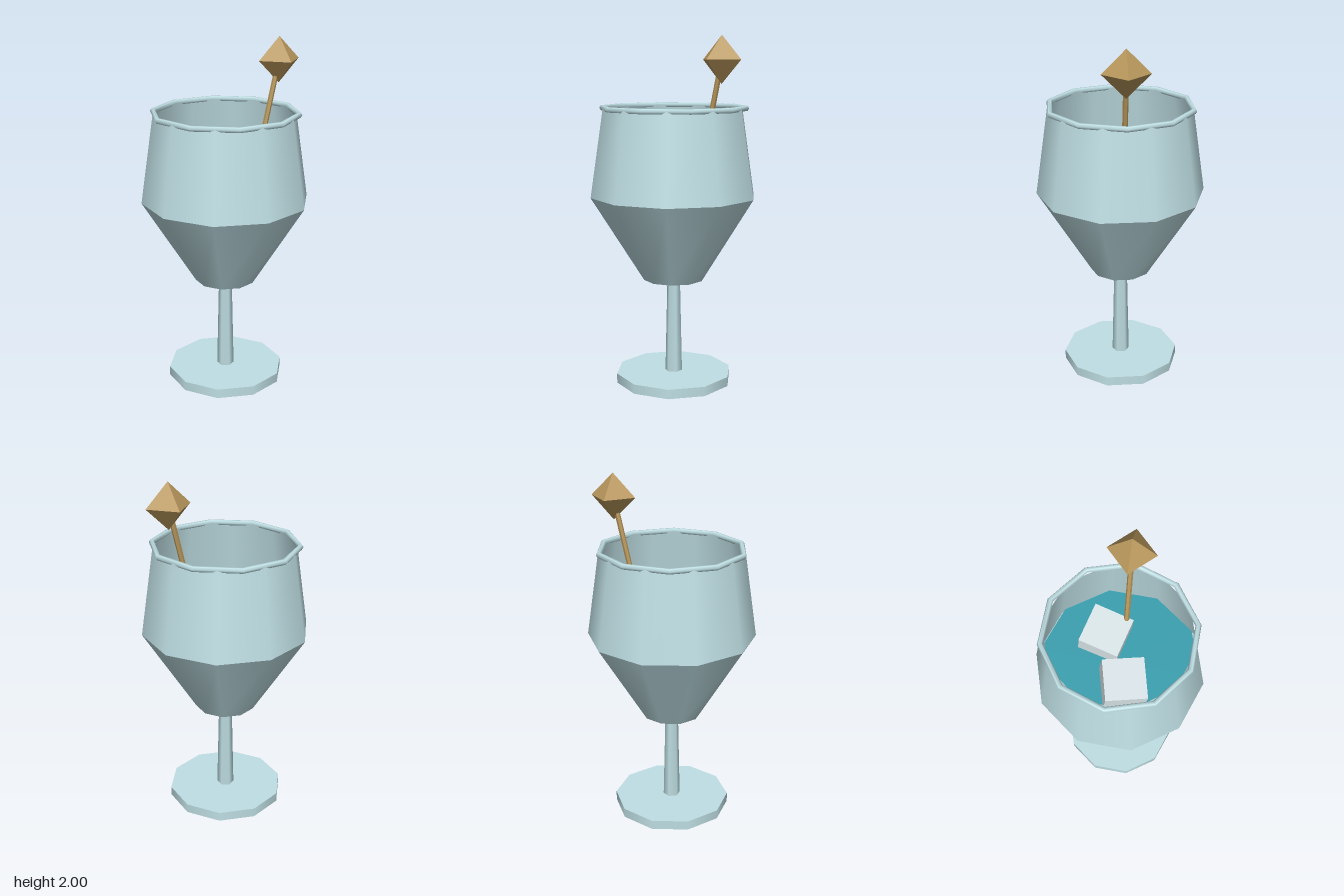
import * as THREE from 'three';

const SIDES = 10;
const AXIS_X = -0.008; // the glass sits slightly off centre, balanced by the pick

const material = (color, extra = {}) => new THREE.MeshStandardMaterial({ color, ...extra });

export function createModel() {
  const model = new THREE.Group();
  const glass = material(0xbfdfe4);
  const glassWall = material(0xbfdfe4, { side: THREE.DoubleSide });
  const liquidMat = material(0x3aa0b0);
  const ice = material(0xdbe6ea, { flatShading: true });
  const wood = material(0xb8975c, { flatShading: true });

  const add = (name, geometry, mat, x, y, z, parent = model) => {
    const mesh = new THREE.Mesh(geometry, mat);
    mesh.name = name;
    mesh.position.set(x, y, z);
    parent.add(mesh);
    return mesh;
  };

  // Tapered cylinder standing between two heights on the glass axis
  const taper = (name, rBottom, rTop, y0, y1, sides, mat, open = false) =>
    add(name, new THREE.CylinderGeometry(rTop, rBottom, y1 - y0, sides, 1, open),
      mat, AXIS_X, (y0 + y1) / 2, 0);

  // Foot and stem
  taper('foot', 0.34, 0.34, 0, 0.055, SIDES, glass);
  taper('stem', 0.05, 0.037, 0.05, 0.63, 6, glass);

  // Bowl: two open cones meeting in a sharp edge at the widest point
  taper('lowerBowl', 0.175, 0.48, 0.61, 1.1, SIDES, glassWall, true);
  taper('upperBowl', 0.48, 0.405, 1.1, 1.6, SIDES, glassWall, true);

  // Rim ring, its corners set between those of the bowl
  const rim = add('rim', new THREE.TorusGeometry(0.41, 0.016, 6, SIDES), glass, AXIS_X, 1.6, 0);
  rim.rotation.x = Math.PI / 2;

  // Drink
  taper('liquid', 0.155, 0.45, 0.62, 1.19, SIDES, liquidMat);

  // Ice cubes, each slightly tipped
  const cubes = [
    { at: [-0.14, 1.23, 0.042], turn: [0.1, 0.28, 0.07] },
    { at: [0.129, 1.21, -0.106], turn: [0.09, -0.22, 0.08] },
  ];
  for (const { at, turn } of cubes) {
    add('iceCube', new THREE.BoxGeometry(0.23, 0.23, 0.23), ice, ...at).rotation.set(...turn);
  }

  // Cocktail pick: a leaning stick under an upright faceted knob
  const pick = new THREE.Group();
  pick.name = 'cocktailPick';
  pick.position.set(0.335, 1.87, 0);
  model.add(pick);
  add('pickKnob', new THREE.OctahedronGeometry(0.13), wood, 0, 0, 0, pick);
  const lean = 0.23, length = 0.85;
  const stick = add('pickStick', new THREE.CylinderGeometry(0.015, 0.015, length, 6), wood,
    -Math.sin(lean) * length / 2, -Math.cos(lean) * length / 2, 0, pick);
  stick.rotation.z = -lean;

  return model;
}
